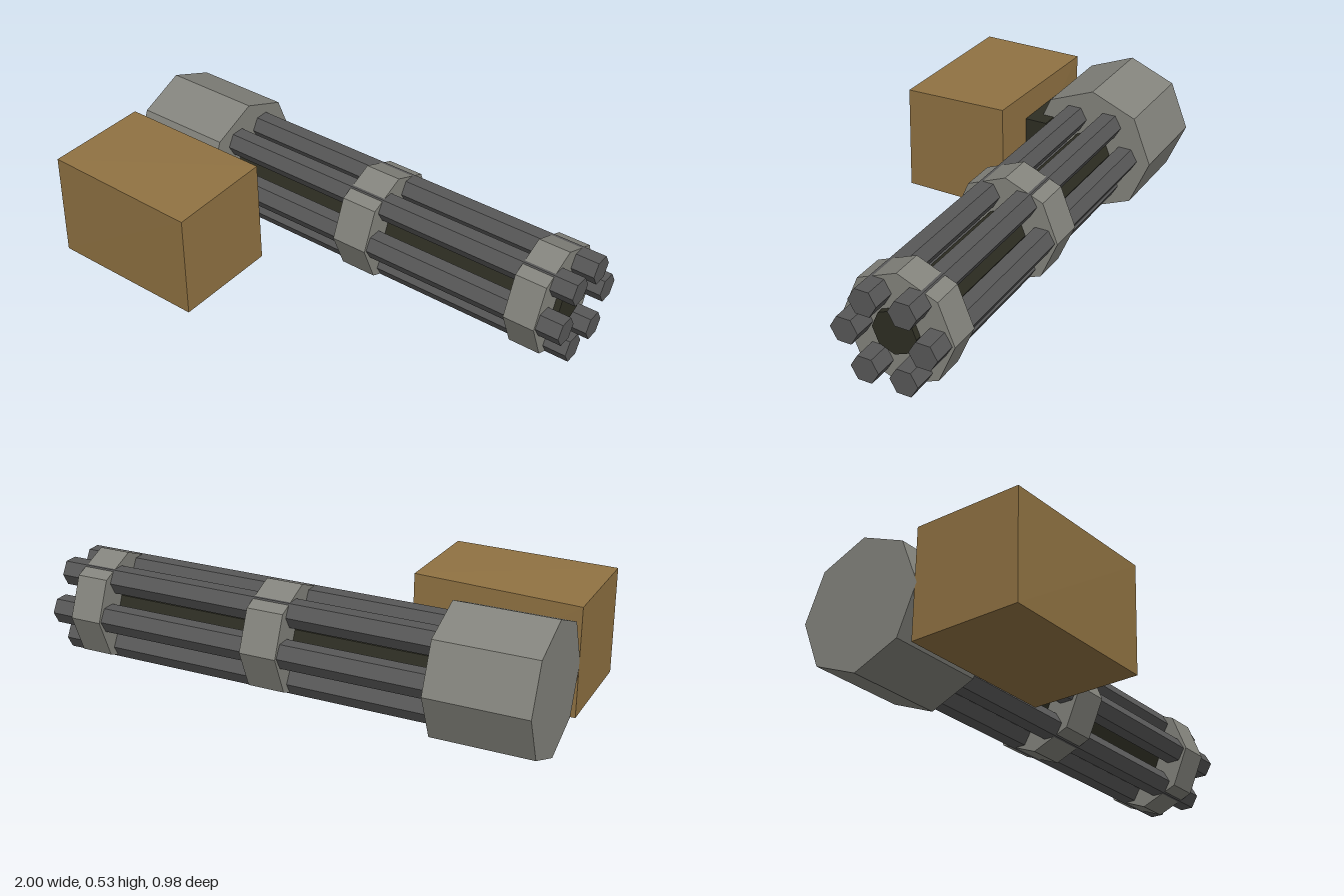
import * as THREE from 'three';

const AXIS_Y = 0.267, AXIS_Z = -0.223;

function material(name, color) {
  const m = new THREE.MeshStandardMaterial({ color, flatShading: true });
  m.name = name;
  return m;
}

export function createModel() {
  const group = new THREE.Group();
  const lightSteel = material('light steel', 0x84847d);
  const gunmetal = material('gunmetal', 0x585858);
  const darkOlive = material('dark olive', 0x2e2e23);
  const tan = material('tan', 0x907242);

  function add(name, geometry, mat) {
    const mesh = new THREE.Mesh(geometry, mat);
    mesh.name = name;
    group.add(mesh);
    return mesh;
  }

  // Prism lying along x, offset from the main axis
  function rod(name, mat, radius, sides, x0, x1, dy = 0, dz = 0) {
    const g = new THREE.CylinderGeometry(radius, radius, x1 - x0, sides);
    g.rotateZ(-Math.PI / 2);
    g.translate((x0 + x1) / 2, AXIS_Y + dy, AXIS_Z + dz);
    return add(name, g, mat);
  }

  // Rear housing, clamp rings and central spindle
  rod('rearHousing', lightSteel, 0.267, 8, -1, -0.6);
  rod('middleRing', lightSteel, 0.222, 8, 0, 0.15);
  rod('frontRing', lightSteel, 0.222, 8, 0.775, 0.905);
  rod('spindle', darkOlive, 0.088, 8, -0.62, 0.93);

  // Six hexagonal barrels around the spindle
  for (let i = 0; i < 6; i++) {
    const a = i * Math.PI / 3;
    rod('barrel' + (i + 1), gunmetal, 0.056, 6, -0.62, 1, Math.sin(a) * 0.155, Math.cos(a) * 0.155);
  }

  // Bracket joining the housing to the ammunition box
  const bracket = new THREE.BoxGeometry(0.27, 0.225, 0.11);
  bracket.translate(-0.665, 0.267, 0.005);
  add('bracket', bracket, darkOlive);

  // Ammunition box, very slightly skewed
  const box = new THREE.BoxGeometry(0.665, 0.445, 0.45);
  const p = box.attributes.position;
  for (let i = 0; i < p.count; i++) {
    const right = p.getX(i) > 0, top = p.getY(i) > 0, front = p.getZ(i) > 0;
    const x = right ? -0.335 : -1;
    const y = top ? (front ? 0.488 : right ? 0.497 : 0.485) : (front ? 0.048 : 0.043);
    const z = front ? (right ? 0.49 : top ? 0.476 : 0.484) : (right ? (top ? 0.05 : 0.04) : 0.035);
    p.setXYZ(i, x, y, z);
  }
  box.computeVertexNormals();
  add('ammunitionBox', box, tan);

  return group;
}
